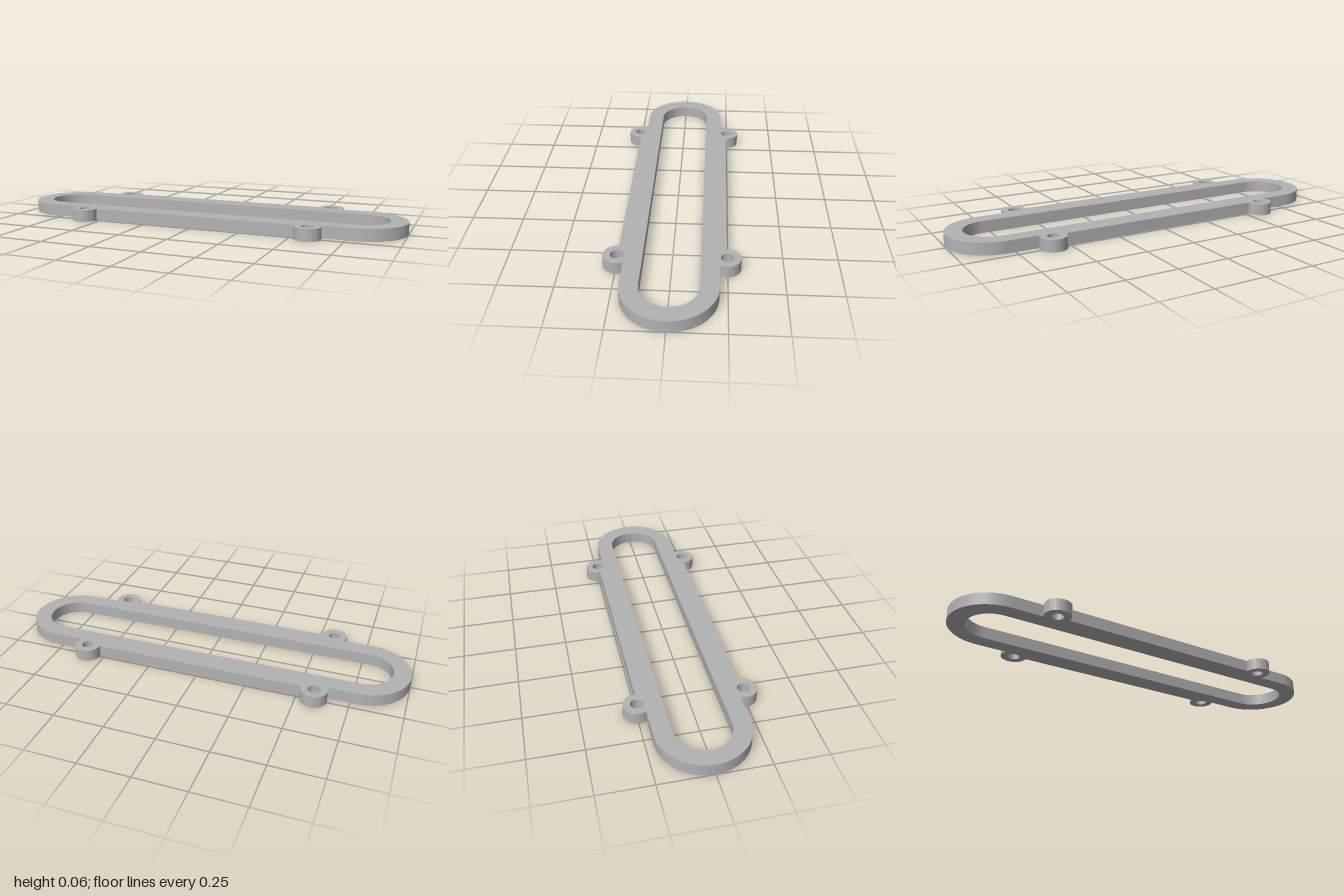
import * as THREE from 'three';
import { toCreasedNormals } from 'three/addons/utils/BufferGeometryUtils.js';

const HEIGHT = 0.059;
const END_X = 0.7865;            // centre of the rounded ends
const OUTER_R = 0.2135, INNER_R = 0.13;
const RAIL_Z = 0.242;            // wider rail between the screw lugs
const LUG_X = 0.5835, LUG_Z = 0.2465, LUG_R = 0.0635, HOLE_R = 0.029;

export function createModel() {
  const group = new THREE.Group();
  const grey = new THREE.MeshStandardMaterial({ color: 0xb2b2b2 });
  grey.name = 'grey';

  // angles at which a lug circle meets the outer edge and the wider rail
  const a = Math.asin((LUG_Z - OUTER_R) / LUG_R);
  const b = Math.asin((LUG_Z - RAIL_Z) / LUG_R);

  // outline: one half, then the same half turned by 180 degrees
  const shape = new THREE.Shape();
  for (const s of [1, -1]) {
    const turn = s === 1 ? 0 : Math.PI;
    const arc = (x, y, r, from, to) => shape.absarc(s * x, s * y, r, from + turn, to + turn, false);
    arc(-LUG_X, -LUG_Z, LUG_R, Math.PI - a, 2 * Math.PI + b);
    arc(LUG_X, -LUG_Z, LUG_R, Math.PI - b, 2 * Math.PI + a);
    arc(END_X, 0, OUTER_R, -Math.PI / 2, Math.PI / 2);
  }
  shape.closePath();

  // long slot
  const slot = new THREE.Path();
  slot.absarc(END_X, 0, INNER_R, -Math.PI / 2, Math.PI / 2, false);
  slot.absarc(-END_X, 0, INNER_R, Math.PI / 2, Math.PI * 1.5, false);
  slot.closePath();
  shape.holes.push(slot);

  // screw holes
  for (const sx of [-1, 1]) for (const sy of [-1, 1]) {
    const hole = new THREE.Path();
    hole.absarc(sx * LUG_X, sy * LUG_Z, HOLE_R, 0, Math.PI * 2, false);
    shape.holes.push(hole);
  }

  const geometry = new THREE.ExtrudeGeometry(shape, { depth: HEIGHT, bevelEnabled: false, curveSegments: 32 });
  geometry.rotateX(-Math.PI / 2);
  const frame = new THREE.Mesh(toCreasedNormals(geometry, Math.PI / 6), grey);
  frame.name = 'slottedFrame';
  group.add(frame);
  return group;
}
